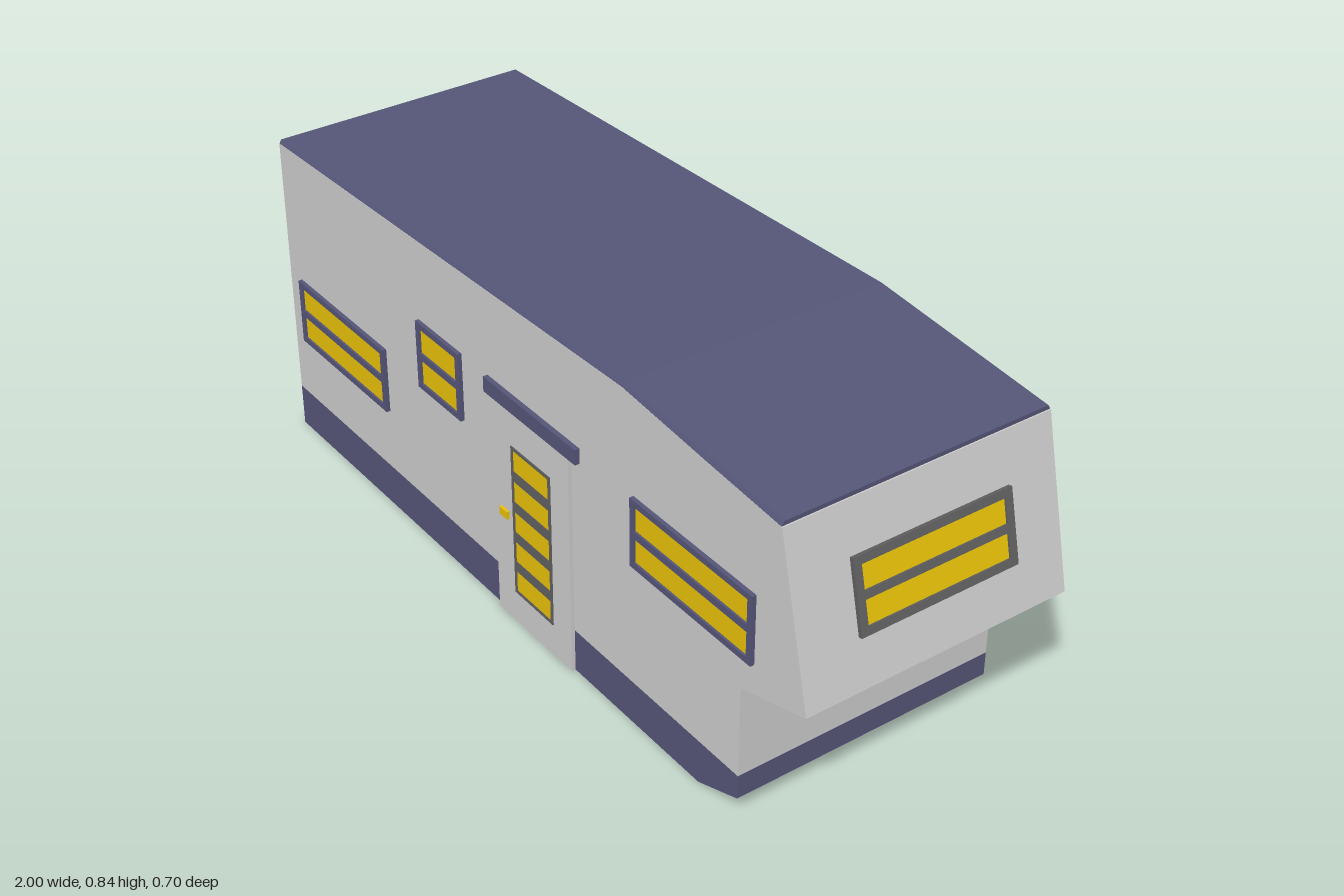
import * as THREE from 'three';

const FRONT = 0.335, BACK = -0.34, SKIRT = 0.11;

const material = (name, color) => {
  const m = new THREE.MeshStandardMaterial({ color });
  m.name = name;
  return m;
};

const polygon = (pts) => new THREE.Shape(pts.map(([x, y]) => new THREE.Vector2(x, y)));

const rect = (x0, y0, x1, y1) => [[x0, y0], [x1, y0], [x1, y1], [x0, y1]];

function extrude(shape, depth) {
  return new THREE.ExtrudeGeometry(shape, { depth, bevelEnabled: false });
}

export function createModel() {
  const model = new THREE.Group();
  model.name = 'caravan';
  const wall = material('wall grey', 0xcccccc);
  const navy = material('navy trim', 0x555578);
  const grey = material('dark grey trim', 0x606060);
  const yellow = material('yellow glass', 0xf0c80a);

  const add = (parent, name, geometry, mat) => {
    const mesh = new THREE.Mesh(geometry, mat);
    mesh.name = name;
    parent.add(mesh);
    return mesh;
  };
  const box = (name, x0, x1, y0, y1, z0, z1, mat) =>
    add(model, name, new THREE.BoxGeometry(x1 - x0, y1 - y0, z1 - z0), mat)
      .position.set((x0 + x1) / 2, (y0 + y1) / 2, (z0 + z1) / 2);

  // Framed window, centred on its own origin and facing +z
  function framedWindow(name, w, h, rows, border, bar, mat) {
    const g = new THREE.Group();
    g.name = name;
    const frame = polygon(rect(-w / 2, -h / 2, w / 2, h / 2));
    const paneW = w - 2 * border;
    const paneH = (h - 2 * border - (rows - 1) * bar) / rows;
    for (let i = 0; i < rows; i++) {
      const y = -h / 2 + border + i * (paneH + bar);
      const hole = rect(-paneW / 2, y, paneW / 2, y + paneH).reverse();
      frame.holes.push(new THREE.Path(hole.map(([a, b]) => new THREE.Vector2(a, b))));
      add(g, 'pane', new THREE.BoxGeometry(paneW, paneH, 0.004), yellow)
        .position.set(0, y + paneH / 2, 0.003);
    }
    add(g, 'frame', extrude(frame, 0.01), mat);
    model.add(g);
    return g;
  }

  // Body: grey shell above a navy skirt
  const shell = polygon([[-1, SKIRT], [0.8, SKIRT], [0.8, 0.34], [1, 0.4],
    [0.907, 0.792], [0.4, 0.834], [-1, 0.791]]);
  add(model, 'bodyShell', extrude(shell, FRONT - BACK), wall).position.z = BACK;
  const skirt = polygon([[-1, 0], [0.67, 0], [0.8, 0.05], [0.8, SKIRT], [-1, SKIRT]]);
  add(model, 'skirt', extrude(skirt, FRONT - BACK), navy).position.z = BACK;

  // Thin roof, its upper edges drawn in to make a chamfer
  const roofTop = (x) => (x < 0.4 ? 0.843 - (0.4 - x) * 0.0307 : 0.843 - (x - 0.4) * 0.0792);
  const xs = [-1, 0.4, 0.905];
  const roof = extrude(polygon([
    ...xs.map((x) => [x, roofTop(x) - 0.01]),
    ...xs.slice().reverse().map((x) => [x, roofTop(x)]),
  ]), FRONT - BACK);
  const p = roof.attributes.position;
  for (let i = 0; i < p.count; i++) {
    if (p.getY(i) > roofTop(p.getX(i)) - 0.005) {
      p.setZ(i, p.getZ(i) > 0.3 ? p.getZ(i) - 0.006 : p.getZ(i) + 0.006);
    }
  }
  roof.computeVertexNormals();
  add(model, 'roof', roof, navy).position.z = BACK;

  // Side windows: [centre x, centre y, width, height]
  const sideWindows = [
    [-0.745, 0.36, 0.4, 0.17],
    [-0.295, 0.518, 0.18, 0.175],
    [0.64, 0.51, 0.4, 0.17],
  ];
  for (const [x, y, w, h] of sideWindows) {
    framedWindow('frontWindow', w, h, 2, 0.015, 0.018, navy).position.set(x, y, FRONT);
  }
  for (const [x, y, w, h] of [...sideWindows, [0.14, 0.518, 0.18, 0.175]]) {
    const win = framedWindow('backWindow', w, h, 2, 0.015, 0.018, navy);
    win.position.set(x, y, BACK);
    win.rotation.y = Math.PI;
  }

  // Window on the sloping nose
  const tilt = Math.atan2(0.093, 0.392);
  const nose = framedWindow('noseWindow', 0.405, 0.171, 2, 0.019, 0.019, grey);
  nose.position.set(1 - (0.595 - 0.4) * Math.tan(tilt), 0.595, -0.0125);
  nose.rotation.set(0, Math.PI / 2, tilt, 'ZYX');

  // Door with barred glass, knob and canopy
  box('door', -0.07, 0.22, 0, 0.57, FRONT - 0.005, 0.345, wall);
  box('canopy', -0.1, 0.25, 0.567, 0.605, FRONT - 0.005, 0.347, navy);
  box('doorKnob', -0.045, -0.015, 0.276, 0.296, 0.344, 0.352, yellow);
  const doorWindow = framedWindow('doorWindow', 0.15, 0.395, 5, 0.008, 0.027, grey);
  doorWindow.position.set(0.077, 0.283, 0.3445);
  doorWindow.scale.z = 0.3;

  return model;
}
